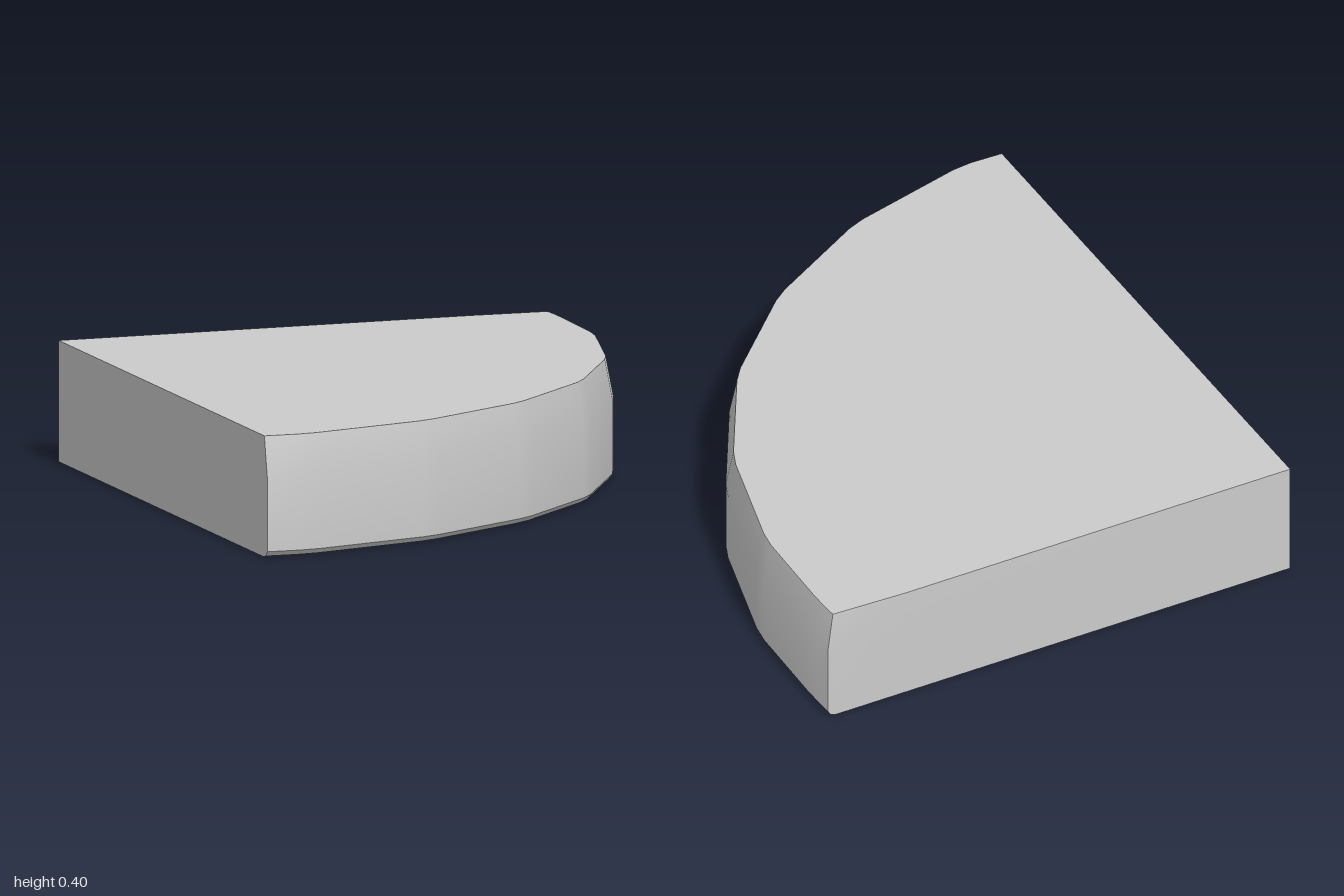
import * as THREE from 'three';
import { toCreasedNormals } from 'three/addons/utils/BufferGeometryUtils.js';

const CORNER = [-0.86, -1];

// Curved rim from the back edge round to the left edge, as (x, z)
const RIM = [[0.85, -1], [0.855, -0.9], [0.845, -0.52], [0.725, -0.07], [0.49, 0.335],
  [0.16, 0.655], [-0.25, 0.885], [-0.71, 1], [-0.86, 0.995]];

// Rim profile from bottom to top, as (inset, height)
const PROFILE = [[0.035, 0], [0.012, 0.006], [0, 0.022], [0, 0.27], [0.026, 0.4]];

// Cut each inner corner of the rim into a short facet
function chamfer(points, cut) {
  const out = [points[0]];
  const toward = (p, q) => {
    const t = cut / Math.hypot(q[0] - p[0], q[1] - p[1]);
    return [p[0] + (q[0] - p[0]) * t, p[1] + (q[1] - p[1]) * t];
  };
  for (let i = 1; i < points.length - 1; i++) {
    out.push(toward(points[i], points[i - 1]), toward(points[i], points[i + 1]));
  }
  out.push(points[points.length - 1]);
  return out;
}

function slabGeometry() {
  const rim = chamfer(RIM, 0.035);
  // Each ring: square corner, a point on the back edge, then the rim shrunk towards the corner
  const rings = PROFILE.map(([inset, y], level) => {
    const s = 1 - inset / 1.9;
    const ring = [[...CORNER], [0.56, -1],
      ...rim.map(p => p.map((v, k) => CORNER[k] + (v - CORNER[k]) * s))];
    if (level === PROFILE.length - 1) ring[2][1] = -0.99; // back top corner dips in slightly
    return ring.map(([x, z]) => [x, y, z]);
  });
  const n = rings[0].length;
  const index = [];
  for (let r = 0; r < rings.length - 1; r++) {
    for (let i = 0; i < n; i++) {
      const a = r * n + i, b = r * n + (i + 1) % n;
      index.push(a, a + n, b, b, a + n, b + n);
    }
  }
  // Flat bottom and top fanned from the square corner
  const top = (rings.length - 1) * n;
  for (let i = 1; i < n - 1; i++) {
    index.push(0, i, i + 1, top, top + i + 1, top + i);
  }
  const geometry = new THREE.BufferGeometry();
  geometry.setAttribute('position', new THREE.Float32BufferAttribute(rings.flat(2), 3));
  geometry.setIndex(index);
  return toCreasedNormals(geometry, 0.42);
}

export function createModel() {
  const group = new THREE.Group();
  group.name = 'quarterRoundSlab';
  const slab = new THREE.Mesh(slabGeometry(), new THREE.MeshStandardMaterial({ color: 0xcccccc }));
  slab.name = 'slab';
  group.add(slab);
  return group;
}
